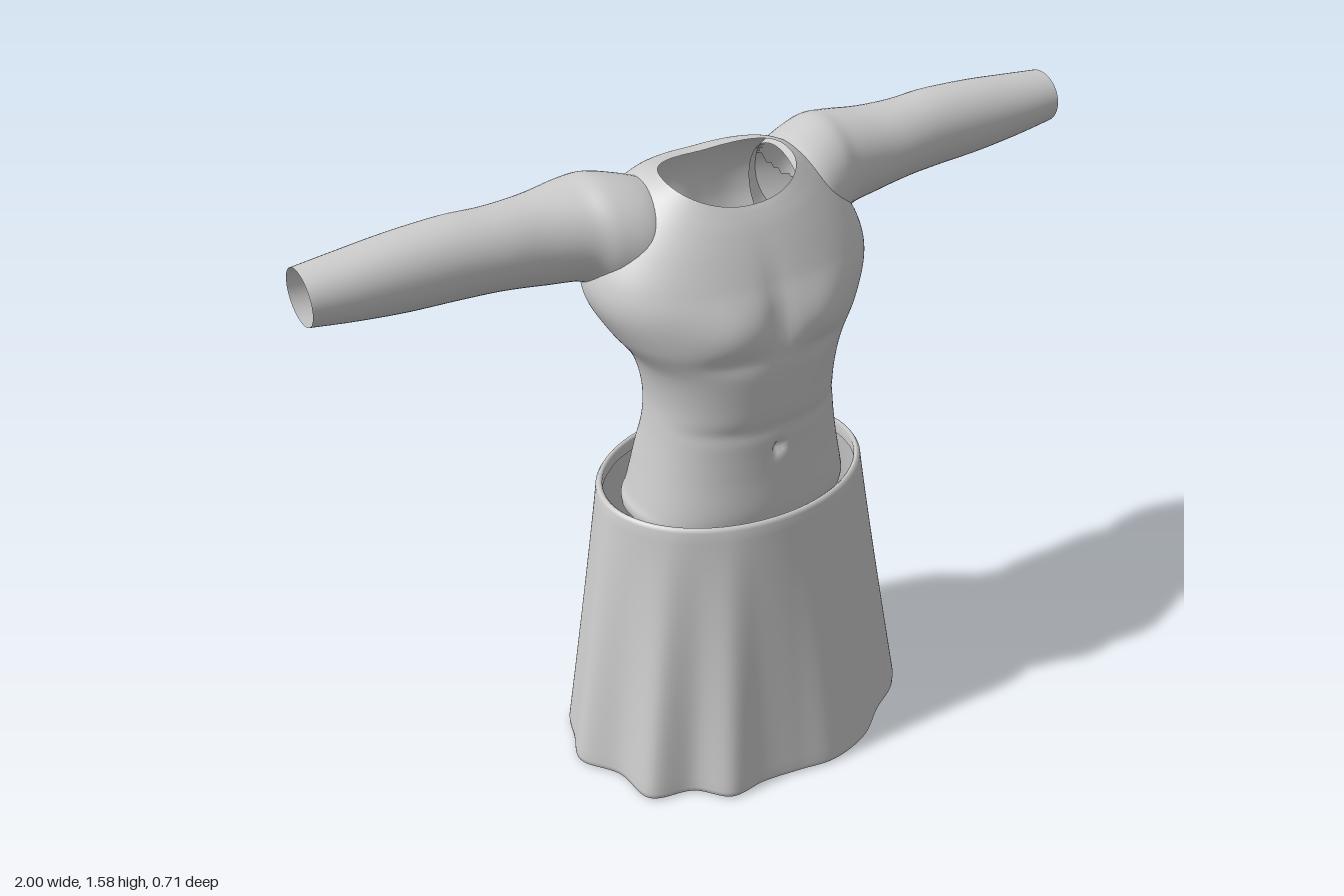
import * as THREE from 'three';

const fabric = new THREE.MeshStandardMaterial({ color: 0xcccccc, side: THREE.DoubleSide });
fabric.name = 'light grey';

// Surface through closed rings; point(u, a) gives the position at row u (0..1), angle a
function loft(rows, cols, point, skip = () => false) {
  const pos = [], index = [];
  for (let i = 0; i <= rows; i++) {
    for (let j = 0; j < cols; j++) pos.push(...point(i / rows, (j / cols) * Math.PI * 2));
  }
  const centre = (a, b) => [0, 1, 2].map((k) => (pos[a * 3 + k] + pos[b * 3 + k]) / 2);
  for (let i = 0; i < rows; i++) {
    for (let j = 0; j < cols; j++) {
      const a = i * cols + j, b = i * cols + ((j + 1) % cols), c = a + cols, d = b + cols;
      if (!skip(centre(a, d))) index.push(a, c, b, b, c, d);
    }
  }
  const g = new THREE.BufferGeometry();
  g.setAttribute('position', new THREE.Float32BufferAttribute(pos, 3));
  g.setIndex(index);
  g.computeVertexNormals();
  return g;
}

// Smooth interpolation between key rows, evenly spaced in u
function smoothRows(keys) {
  const f = new THREE.CubicInterpolant(keys.map((_, i) => i), keys.flat(), keys[0].length);
  return (u) => f.evaluate(u * (keys.length - 1));
}

const power = (v, p) => Math.sign(v) * Math.abs(v) ** p;
const bump = (d, s) => Math.exp(-(d * d) / (s * s));

// Torso rings: y at front, y at back, half width, z front, z back, z of widest point, side lift
const torsoRow = smoothRows([
  [0.64, 0.64, 0.285, 0.195, -0.18, 0.01, 0.07],
  [0.70, 0.70, 0.285, 0.22, -0.19, 0.01, 0.03],
  [0.76, 0.76, 0.275, 0.23, -0.18, 0.015, 0],
  [0.86, 0.86, 0.255, 0.224, -0.158, 0.02, 0],
  [0.96, 0.96, 0.239, 0.222, -0.13, 0.03, 0],
  [1.05, 1.05, 0.236, 0.23, -0.137, 0.03, 0],
  [1.14, 1.14, 0.258, 0.236, -0.155, 0.02, 0],
  [1.22, 1.22, 0.312, 0.232, -0.175, 0, 0],
  [1.30, 1.30, 0.352, 0.218, -0.192, -0.03, 0],
  [1.36, 1.38, 0.35, 0.195, -0.218, -0.05, 0],
  [1.42, 1.45, 0.31, 0.167, -0.228, -0.06, 0.01],
  [1.47, 1.51, 0.25, 0.14, -0.212, -0.05, 0.02],
  [1.50, 1.545, 0.20, 0.12, -0.175, -0.03, 0.025],
  [1.515, 1.555, 0.165, 0.108, -0.122, -0.01, 0.03],
]);

function torsoPoint(u, a) {
  const [yF, yB, hw, zF, zB, zc, lift] = torsoRow(u);
  const x = hw * power(Math.cos(a), 0.88);
  const s = power(Math.sin(a), 0.88);
  let z = zc + s * (s > 0 ? zF - zc : zc - zB);
  const y = THREE.MathUtils.lerp(yB, yF, (z - zB) / (zF - zB)) + lift * (x / hw) ** 2;
  if (s > 0) {
    // chest muscles with a crease below, belly fold, navel
    const side = Math.abs(x) - 0.12;
    z += s * 0.018 * bump(side, 0.09) * bump(y - 1.26, 0.065);
    z -= s * 0.008 * bump(side, 0.08) * bump(y - 1.185, 0.025);
    z -= s * 0.01 * bump(x, 0.03) * bump(y - 1.28, 0.1);
    z -= s * 0.005 * bump(y - 0.985, 0.02);
    z -= 0.02 * bump(x, 0.012) * bump(y - 0.925, 0.016);
  } else {
    // spine groove, shoulder blades, seat cleft
    z -= s * 0.018 * bump(x, 0.035) * bump(y - 1.17, 0.24);
    z += s * 0.012 * bump(Math.abs(x) - 0.14, 0.07) * bump(y - 1.35, 0.09);
    z -= s * 0.03 * bump(x, 0.018) * THREE.MathUtils.smoothstep(0.88 - y, 0, 0.08);
  }
  return [x, y, z];
}

// Sleeve rings: x, y top, y bottom, z front, z back
const armRow = smoothRows([
  [0.17, 1.545, 1.31, 0.05, -0.185],
  [0.23, 1.565, 1.295, 0.07, -0.218],
  [0.30, 1.579, 1.305, 0.05, -0.235],
  [0.36, 1.571, 1.335, 0.018, -0.232],
  [0.45, 1.56, 1.348, -0.002, -0.213],
  [0.55, 1.557, 1.363, -0.01, -0.201],
  [0.65, 1.559, 1.367, -0.018, -0.204],
  [0.78, 1.552, 1.372, -0.025, -0.202],
  [0.90, 1.54, 1.385, -0.032, -0.195],
  [1.00, 1.53, 1.40, -0.04, -0.185],
]);

function armPoint(u, a) {
  const [x, yT, yB, zF, zB] = armRow(u);
  return [x, (yT + yB) / 2 + Math.cos(a) * (yT - yB) / 2,
    (zF + zB) / 2 - Math.sin(a) * (zF - zB) / 2];
}

// Wavy hem outline (x, z), running from the left side round the front
const hem = new THREE.CatmullRomCurve3([
  [0.465, -0.02], [0.44, 0.04], [0.45, 0.11], [0.40, 0.19], [0.31, 0.25], [0.22, 0.32],
  [0.10, 0.355], [0, 0.342], [-0.10, 0.33], [-0.20, 0.335], [-0.27, 0.265], [-0.38, 0.23],
  [-0.40, 0.11], [-0.46, 0.01], [-0.43, -0.08], [-0.40, -0.16], [-0.33, -0.22], [-0.30, -0.285],
  [-0.22, -0.29], [-0.13, -0.315], [-0.05, -0.357], [0.05, -0.335], [0.15, -0.315],
  [0.25, -0.28], [0.35, -0.24], [0.40, -0.16], [0.43, -0.09],
].map(([x, z]) => new THREE.Vector3(x, 0, z)), true);

// Skirt wall from the turned-in hem up to the turned-in waistband
function skirtPoint(u, a) {
  const rowY = [0.012, 0, 0.006, 0.018];
  const inset = [0.02, 0.01, 0.002, 0];
  const i = Math.round(u * 32);
  let y, k;
  if (i < 4) [y, k] = [rowY[i], inset[i]];
  else if (i <= 28) [y, k] = [0.018 + (i - 3) / 25 * 0.732, 0];
  else [y, k] = [[0.758, 0.76, 0.755, 0.725][i - 29], [0.004, 0.01, 0.016, 0.018][i - 29]];
  const p = hem.getPoint(a / (Math.PI * 2));
  const dir = Math.atan2(p.z / 0.355, p.x / 0.465);
  const t = (1 - y / 0.76) ** 1.06;
  const x = THREE.MathUtils.lerp(0.347 * Math.cos(dir), p.x, t);
  const z = THREE.MathUtils.lerp(0.267 * Math.sin(dir), p.z, t);
  return [x - Math.cos(dir) * k, y, z - Math.sin(dir) * k];
}

export function createModel() {
  const model = new THREE.Group();
  const add = (name, geometry) => {
    const mesh = new THREE.Mesh(geometry, fabric);
    mesh.name = name;
    model.add(mesh);
    return mesh;
  };

  // Torso, open where the hollow sleeves join
  const inSleeve = ([x, y, z]) => Math.abs(x) > 0.2 && Math.hypot(y - 1.462, z + 0.11) < 0.08;
  add('torso', loft(120, 144, torsoPoint, inSleeve));

  // Sleeves
  const sleeve = loft(60, 48, armPoint);
  add('leftSleeve', sleeve);
  add('rightSleeve', sleeve).scale.x = -1;

  // Narrow strap between the leg openings, hidden by the skirt
  const strap = new THREE.PlaneGeometry(2, 2, 4, 16);
  const p = strap.attributes.position;
  for (let i = 0; i < p.count; i++) {
    const v = p.getY(i);
    p.setXYZ(i, p.getX(i) * (0.012 + 0.07 * v * v), 0.575 + 0.068 * v * v, 0.008 + v * 0.185);
  }
  strap.computeVertexNormals();
  add('strap', strap);

  add('skirt', loft(32, 216, skirtPoint));
  return model;
}
